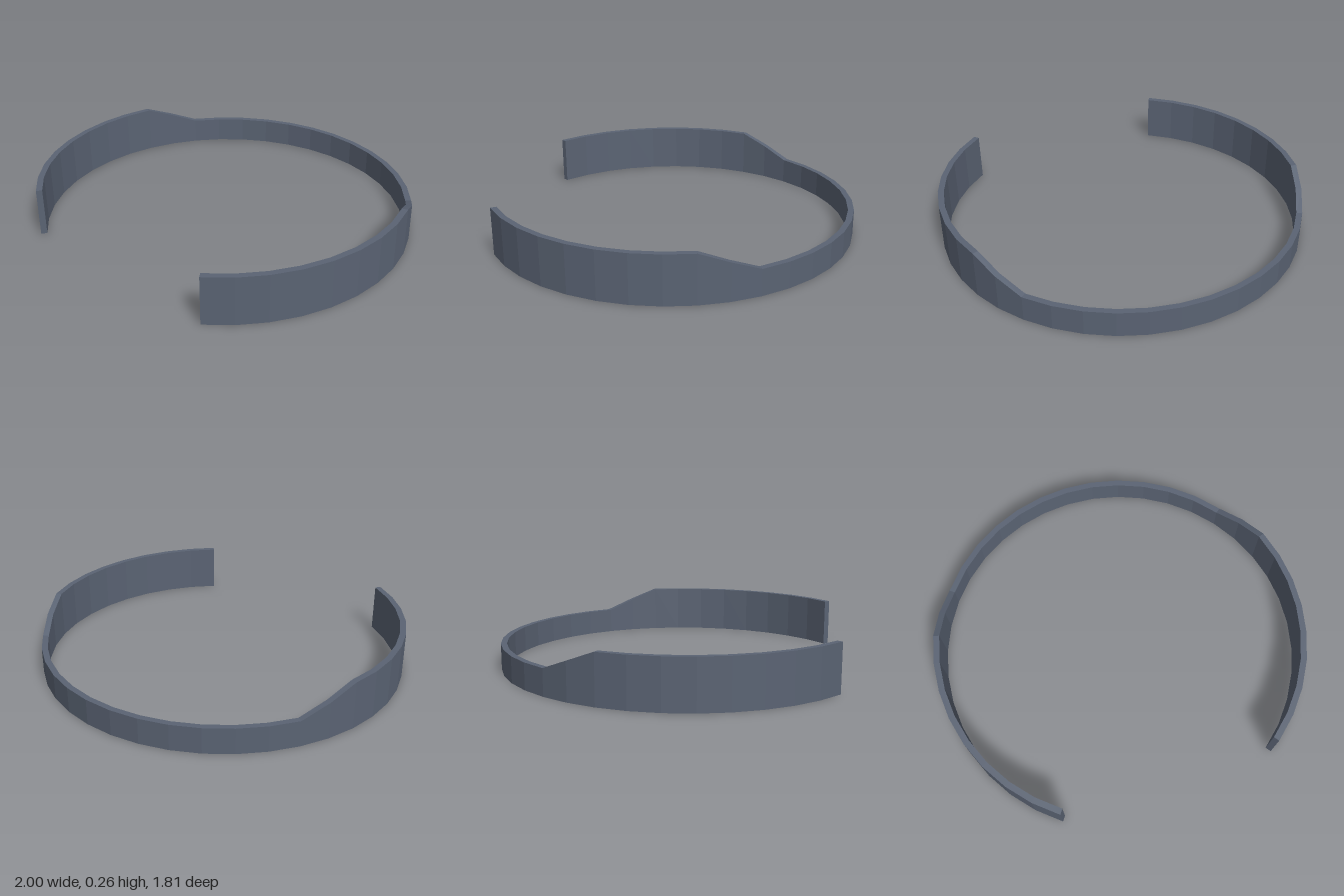
import * as THREE from 'three';

const STEPS = 16;                          // facets on each side of the back
const STEP = THREE.MathUtils.degToRad(9);  // 40 facets to a full circle
const OUTER = 1, INNER = 0.968;
const CENTRE_Z = 0.0955;
const LOW = 0.14, HIGH = 0.258;

// Low at the back, ramping up between facets 6 and 8, tall towards the front
function heightAt(i) {
  const t = THREE.MathUtils.clamp((Math.abs(i) - 6) / 2, 0, 1);
  return THREE.MathUtils.lerp(LOW, HIGH, t);
}

// Open ring swept from rectangular cross-sections
function bandGeometry() {
  const positions = [], index = [];
  for (let i = -STEPS; i <= STEPS; i++) {
    const s = Math.sin(i * STEP), c = Math.cos(i * STEP), h = heightAt(i);
    for (const [r, y] of [[OUTER, 0], [OUTER, h], [INNER, h], [INNER, 0]]) {
      positions.push(r * s, y, CENTRE_Z - r * c);
    }
  }
  for (let i = 0; i < STEPS * 2; i++) {
    for (let k = 0; k < 4; k++) {
      const a = i * 4 + k, b = i * 4 + (k + 1) % 4;
      index.push(a, b, b + 4, a, b + 4, a + 4);
    }
  }
  // End caps
  const e = STEPS * 8;
  index.push(0, 2, 1, 0, 3, 2, e, e + 1, e + 2, e, e + 2, e + 3);

  const geometry = new THREE.BufferGeometry();
  geometry.setAttribute('position', new THREE.Float32BufferAttribute(positions, 3));
  geometry.setIndex(index);
  const flat = geometry.toNonIndexed();
  flat.computeVertexNormals();
  return flat;
}

export function createModel() {
  const slate = new THREE.MeshStandardMaterial({ color: 0x5a6373, flatShading: true });
  slate.name = 'slate grey';
  const band = new THREE.Mesh(bandGeometry(), slate);
  band.name = 'openBand';
  const group = new THREE.Group();
  group.name = 'openRing';
  group.add(band);
  return group;
}
